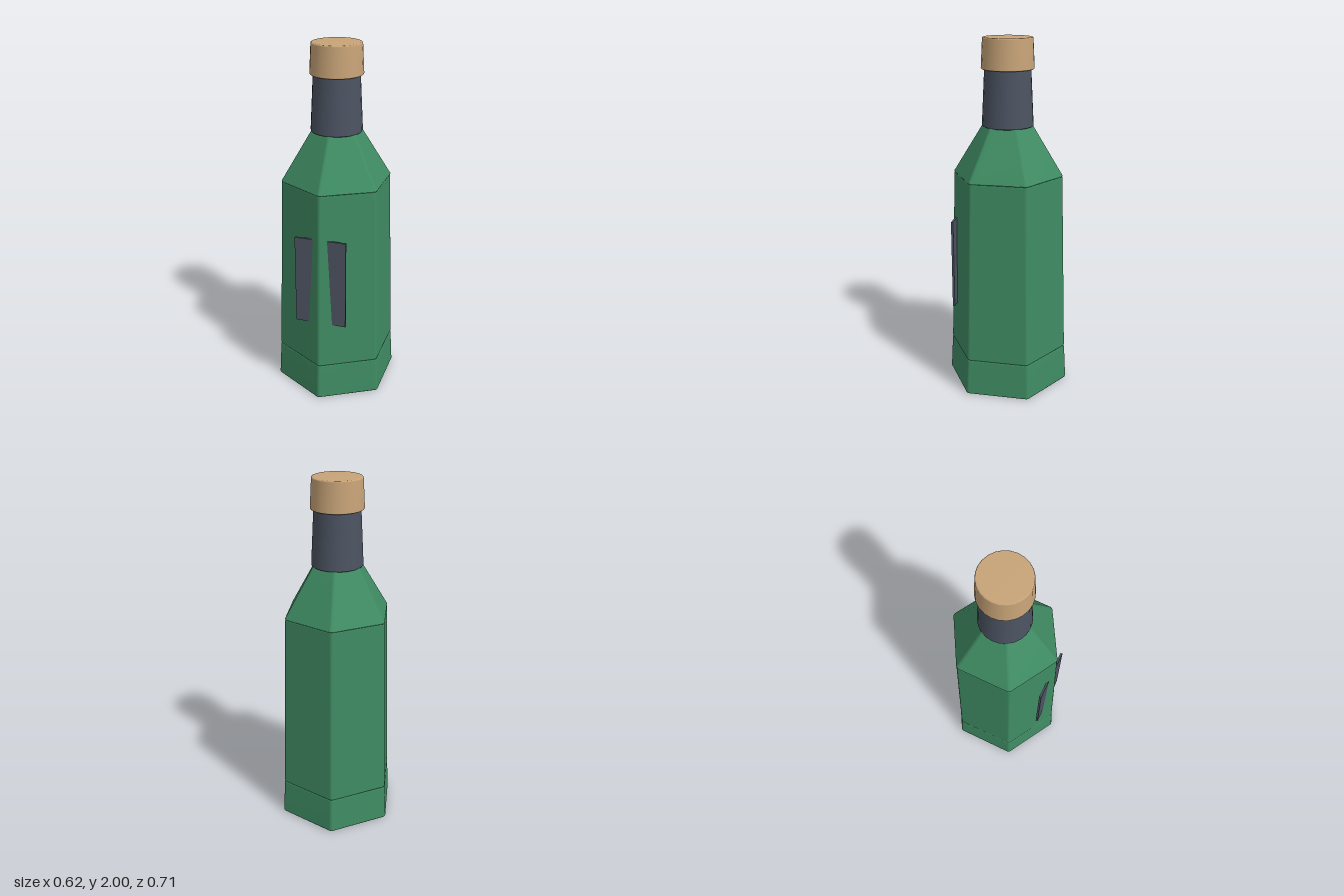
import * as THREE from 'three';

const green = new THREE.MeshStandardMaterial({ color: 0x3f8c63, name: 'bottleGreen' });
const slate = new THREE.MeshStandardMaterial({ color: 0x4c5462, name: 'slateGrey' });
const tan = new THREE.MeshStandardMaterial({ color: 0xc8a478, name: 'corkTan' });

// Hexagon of circumradius R with filleted corners, points towards +z and -z
function hexRing(R) {
  const fillet = 0.02, steps = 3, points = [];
  const inner = R - fillet / Math.cos(Math.PI / 6);
  for (let i = 0; i < 6; i++) {
    const a = i * Math.PI / 3;
    for (let j = 0; j <= steps; j++) {
      const b = a + (j / steps - 0.5) * Math.PI / 3;
      points.push([inner * Math.sin(a) + fillet * Math.sin(b), inner * Math.cos(a) + fillet * Math.cos(b)]);
    }
  }
  return points;
}

function roundRing(R) {
  return Array.from({ length: 24 }, (_, i) => {
    const a = i * Math.PI / 12;
    return [R * Math.sin(a), R * Math.cos(a)];
  });
}

// Tapered solid with small bevels at both ends; area-weighted normals keep the faces flat
function section(name, ring, material, y0, r0, y1, r1, bevel) {
  const profile = [
    [y0, r0 - bevel], [y0 + bevel * 0.3, r0 - bevel * 0.3], [y0 + bevel, r0],
    [y1 - bevel, r1], [y1 - bevel * 0.3, r1 - bevel * 0.3], [y1, r1 - bevel],
  ];
  const pos = [], index = [];
  const n = ring(1).length;
  for (const [y, r] of profile) for (const [x, z] of ring(r)) pos.push(x, y, z);
  for (let k = 0; k < profile.length - 1; k++) {
    for (let i = 0; i < n; i++) {
      const a = k * n + i, b = k * n + (i + 1) % n;
      index.push(a, b, b + n, a, b + n, a + n);
    }
  }
  const bottom = pos.length / 3, top = bottom + 1, last = (profile.length - 1) * n;
  pos.push(0, y0, 0, 0, y1, 0);
  for (let i = 0; i < n; i++) {
    const j = (i + 1) % n;
    index.push(bottom, j, i, top, last + i, last + j);
  }
  const geometry = new THREE.BufferGeometry();
  geometry.setAttribute('position', new THREE.Float32BufferAttribute(pos, 3));
  geometry.setIndex(index);
  geometry.computeVertexNormals();
  const mesh = new THREE.Mesh(geometry, material);
  mesh.name = name;
  return mesh;
}

export function createModel() {
  const bottle = new THREE.Group();
  bottle.name = 'bottle';

  // Hexagonal glass, stacked in three sections
  bottle.add(
    section('base', hexRing, green, 0, 0.356, 0.212, 0.345, 0.009),
    section('body', hexRing, green, 0.208, 0.344, 1.247, 0.313, 0.009),
    section('shoulder', hexRing, green, 1.243, 0.314, 1.53, 0.146, 0.007),
  );

  // Sleeve around the neck, then the stopper
  bottle.add(
    section('neck', roundRing, slate, 1.52, 0.143, 1.84, 0.128, 0.008),
    section('stopper', roundRing, tan, 1.83, 0.146, 2, 0.138, 0.007),
  );

  // Two upright label plates, their inner edges sunk into the front corner
  for (const side of [-1, 1]) {
    const plate = new THREE.Mesh(new THREE.BoxGeometry(0.115, 0.515, 0.012), slate);
    plate.name = side > 0 ? 'leftLabelPlate' : 'rightLabelPlate';
    plate.position.set(side * 0.0885, 0.728, 0.291);
    bottle.add(plate);
  }
  return bottle;
}
